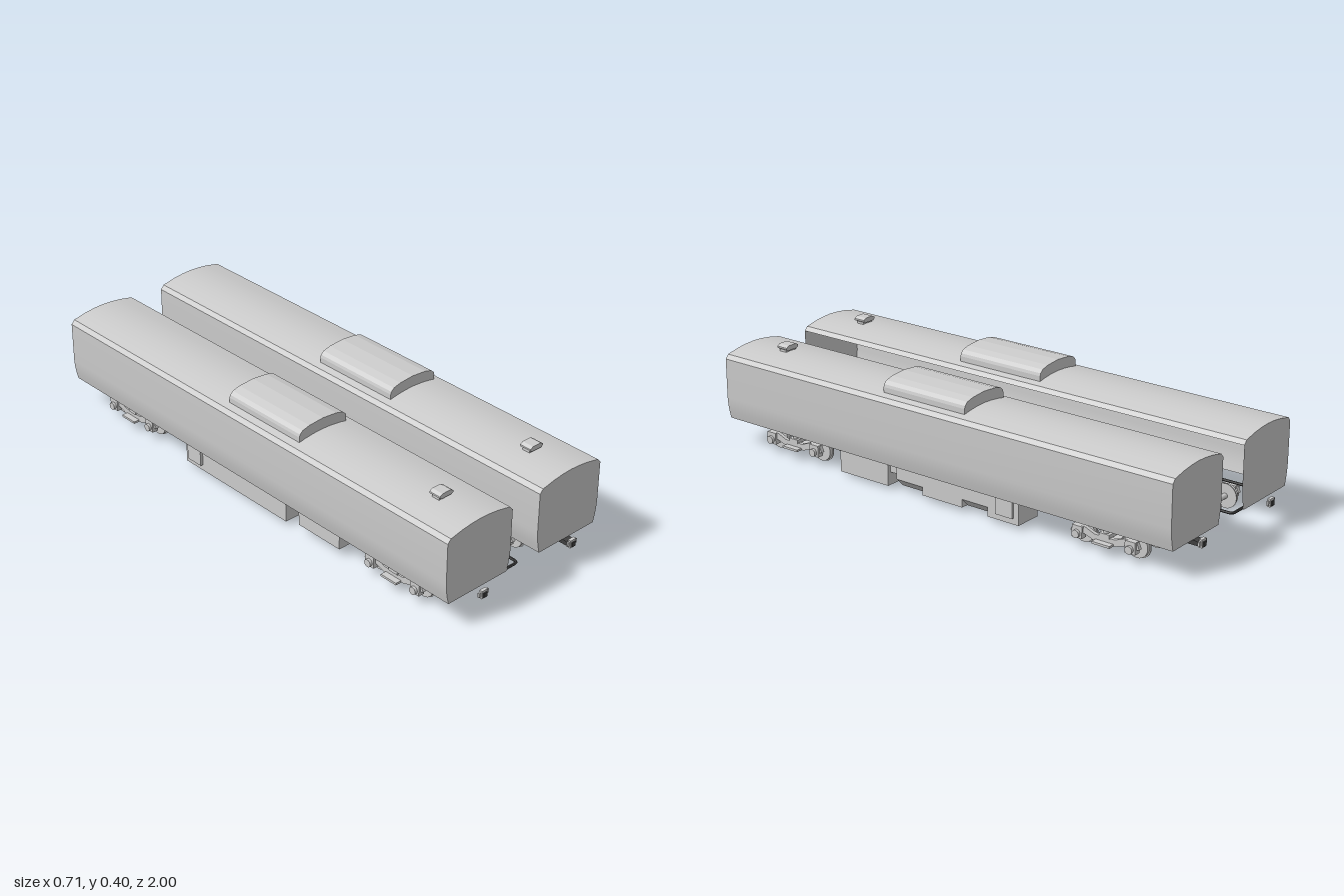
import * as THREE from 'three';
import { toCreasedNormals } from 'three/addons/utils/BufferGeometryUtils.js';

function material(name, color) {
  const m = new THREE.MeshStandardMaterial({ color, side: THREE.DoubleSide });
  m.name = name;
  return m;
}
const grey = material('plain grey', 0xcccccc);
const dark = material('dark grey', 0x404040);
const Z0 = -0.966, Z1 = 0.963;

function add(parent, name, geo, x = 0, y = 0, z = 0, mat = grey) {
  const m = new THREE.Mesh(geo, mat);
  m.name = name;
  m.position.set(x, y, z);
  parent.add(m);
  return m;
}

// Box given by its limits
function box(parent, name, x0, x1, y0, y1, z0, z1, mat = grey) {
  return add(parent, name, new THREE.BoxGeometry(Math.abs(x1 - x0), y1 - y0, Math.abs(z1 - z0)),
    (x0 + x1) / 2, (y0 + y1) / 2, (z0 + z1) / 2, mat);
}

// Cylinder lying across the car
function crossCylinder(parent, name, r, length, x, y, z, sides = 24) {
  return add(parent, name, new THREE.CylinderGeometry(r, r, length, sides).rotateZ(Math.PI / 2), x, y, z);
}

// Sheet swept along z from an open profile
function sheet(profile, z0, z1) {
  const pos = [];
  for (let i = 0; i + 1 < profile.length; i++) {
    const [ax, ay] = profile[i], [bx, by] = profile[i + 1];
    pos.push(ax, ay, z1, ax, ay, z0, bx, by, z0, ax, ay, z1, bx, by, z0, bx, by, z1);
  }
  const g = new THREE.BufferGeometry();
  g.setAttribute('position', new THREE.Float32BufferAttribute(pos, 3));
  return toCreasedNormals(g, 0.45);
}

const toShape = pts => new THREE.Shape(pts.map(p => new THREE.Vector2(...p)));

function extrude(pts, depth) {
  return new THREE.ExtrudeGeometry(toShape(pts), { depth, bevelEnabled: false });
}

const mirrorProfile = half => [...half, ...half.slice(0, -1).reverse().map(([x, y]) => [-x, y])];

// Half profile of the body, bottom edge to roof crown
const bodyProfile = mirrorProfile([[0.132, 0.1], [0.139, 0.13], [0.143, 0.155], [0.145, 0.18], [0.145, 0.33],
  [0.132, 0.345], [0.118, 0.348], [0.08, 0.356], [0.04, 0.361], [0, 0.363]]);
const humpProfile = mirrorProfile([[0.105, 0.34], [0.105, 0.37], [0.102, 0.38], [0.09, 0.391], [0.06, 0.399], [0, 0.404]]);

// Closed loop of thin rail with rounded corners, reaching out of the open side
function addRailLoop(car) {
  const x0 = -0.04, x1 = 0.19, z0 = Z0 + 0.006, z1 = Z1 - 0.006, r = 0.015;
  const corners = [[x1, z1, 1, 1], [x1, z0, 1, -1], [x0, z0, -1, -1], [x0, z1, -1, 1]];
  const v = (x, z) => new THREE.Vector3(x, 0.105, z);
  const path = new THREE.CurvePath();
  let last = v(x0 + r, z1);
  corners.forEach(([x, z, sx, sz], i) => {
    const alongX = v(x - sx * r, z), alongZ = v(x, z - sz * r);
    const [from, to] = i % 2 ? [alongZ, alongX] : [alongX, alongZ];
    path.add(new THREE.LineCurve3(last, from));
    path.add(new THREE.QuadraticBezierCurve3(from, v(x, z), to));
    last = to;
  });
  add(car, 'railLoop', toCreasedNormals(new THREE.TubeGeometry(path, 800, 0.005, 6), 0.5), 0, 0, 0, dark);
}

function addBody(car, open) {
  // Hollow body without a floor; the open car also lacks its left wall
  add(car, 'wallsAndRoof', sheet(open ? bodyProfile.slice(4) : bodyProfile, Z0, Z1));
  for (const z of [Z0, Z1]) {
    const end = add(car, 'endWall', new THREE.ShapeGeometry(toShape(bodyProfile)), 0, 0, z);
    if (z < 0) end.rotation.y = Math.PI;
  }
  if (open) addRailLoop(car);
  // Roof hump and ventilator
  add(car, 'roofHump', extrude(humpProfile, 0.355), 0, 0, -0.115);
  box(car, 'ventStem', -0.025, 0.025, 0.355, 0.37, 0.775, 0.805);
  const cap = [[-0.022, 0.369], [0.022, 0.369], [0.03, 0.374], [0.03, 0.38], [0.018, 0.387],
    [-0.018, 0.387], [-0.03, 0.38], [-0.03, 0.374]];
  add(car, 'ventCap', extrude(cap, 0.046), 0, 0, 0.767);
}

function addBogie(car, zc) {
  const bogie = new THREE.Group();
  bogie.name = 'bogie';
  bogie.position.z = zc;
  car.add(bogie);
  // Wheelsets with flanges and axle boxes
  for (const dz of [-0.104, 0.104]) {
    crossCylinder(bogie, 'axle', 0.01, 0.21, 0, 0.045, dz, 12);
    for (const s of [-1, 1]) {
      crossCylinder(bogie, 'wheel', 0.041, 0.014, s * 0.057, 0.045, dz);
      crossCylinder(bogie, 'wheelFlange', 0.045, 0.004, s * 0.049, 0.045, dz);
      box(bogie, 'axleBox', s * 0.08, s * 0.105, 0.032, 0.075, dz - 0.02, dz + 0.02);
      crossCylinder(bogie, 'axleCap', 0.014, 0.01, s * 0.11, 0.048, dz, 16);
    }
  }
  // Arched side frames with springs in the middle
  const frame = [[-0.135, 0.05], [-0.12, 0.045], [-0.08, 0.05], [-0.045, 0.038], [0.045, 0.038], [0.08, 0.05],
    [0.12, 0.045], [0.135, 0.05], [0.125, 0.072], [0.08, 0.076], [0.04, 0.06], [-0.04, 0.06], [-0.08, 0.076], [-0.125, 0.072]];
  for (const s of [-1, 1]) {
    add(bogie, 'sideFrame', extrude(frame, 0.014).rotateY(Math.PI / 2), s * 0.09 - 0.007);
    box(bogie, 'springPlank', s * 0.075, s * 0.12, 0.036, 0.044, -0.035, 0.035);
    add(bogie, 'spring', new THREE.CylinderGeometry(0.01, 0.01, 0.045, 12), s * 0.085, 0.066, 0);
    add(bogie, 'airSpring', new THREE.CylinderGeometry(0.032, 0.018, 0.014, 20), s * 0.085, 0.092, 0);
  }
  box(bogie, 'bolster', -0.1, 0.1, 0.058, 0.072, -0.02, 0.02);
  box(bogie, 'crossBeam', -0.085, 0.085, 0.034, 0.046, -0.03, 0.03);
  add(bogie, 'pivot', new THREE.CylinderGeometry(0.02, 0.02, 0.03, 16), 0, 0.086, 0);
}

function addCoupler(car, dir, open) {
  const end = dir > 0 ? Z1 : Z0;
  // Drawbar tapering up towards the car, only on the closed car
  if (!open) {
    const bar = [[-0.13, 0.1], [-0.13, 0.094], [-0.02, 0.082], [0.022, 0.082], [0.022, 0.096], [-0.01, 0.1]];
    add(car, 'drawbar', extrude(bar.map(([z, y]) => [dir * z, y]), 0.032).rotateY(-Math.PI / 2), 0.016, 0, end, dark);
  }
  box(car, 'couplerHead', -0.013, 0.013, 0.077, 0.106, end + dir * 0.019, end + dir * 0.031);
  box(car, 'couplerFace', -0.008, 0.008, 0.081, 0.098, end + dir * 0.031, end + dir * 0.035, dark);
  box(car, 'couplerLug', -0.022, 0.022, 0.084, 0.1, end + dir * 0.021, end + dir * 0.027);
}

// Boxes under the body as [u0, u1, y0, z0, z1], u pointing away from the other car
const shared = [
  [-0.105, -0.02, 0.03, 0.3, 0.42], [-0.115, -0.005, 0.015, -0.05, 0.15],
  [-0.1, -0.03, 0.045, -0.2, -0.1], [-0.11, -0.02, 0.035, -0.35, -0.26],
  [0.1, 0.126, 0.038, -0.33, -0.26],
];
const outerOpen = [[0.01, 0.115, 0.015, -0.35, 0.18], [0.03, 0.11, 0.03, 0.24, 0.44]];
const outerClosed = [
  [0.01, 0.115, 0.013, 0.22, 0.44], [0.04, 0.1, 0.06, 0.17, 0.22],
  [0.01, 0.115, 0.018, -0.11, 0.065], [0.01, 0.116, 0.015, -0.35, -0.22],
];
// Cases with a sloping lower outer side
const sloped = [[0.065, 0.18], [-0.22, -0.11]];
const slopedProfile = [[0.01, 0.015], [0.082, 0.015], [0.115, 0.048], [0.115, 0.1], [0.01, 0.1]];

function addUnderfloor(car, side, open) {
  for (const [u0, u1, y0, z0, z1] of [...shared, ...(open ? outerOpen : outerClosed)]) {
    box(car, 'equipmentBox', side * u0, side * u1, y0, 0.1, z0, z1);
  }
  if (!open) for (const [z0, z1] of sloped) {
    add(car, 'slopedCase', extrude(slopedProfile.map(([u, y]) => [side * u, y]), z1 - z0), 0, 0, z0);
  }
  // Air reservoir and hanging brackets
  const tank = add(car, 'airTank', new THREE.CylinderGeometry(0.018, 0.018, 0.1, 16), -side * 0.06, 0.07, 0.22);
  tank.rotation.x = Math.PI / 2;
  for (const z of [-0.475, 0.475]) {
    box(car, 'bracket', -side * 0.12, -side * 0.127, 0.055, 0.1, z - 0.008, z + 0.008);
    crossCylinder(car, 'bracketFoot', 0.014, 0.012, -side * 0.128, 0.073, z, 12);
  }
}

function buildCar(name, x, side, open) {
  const car = new THREE.Group();
  car.name = name;
  car.position.x = x;
  addBody(car, open);
  for (const dir of [1, -1]) {
    addBogie(car, dir * 0.683);
    addCoupler(car, dir, open);
  }
  addUnderfloor(car, side, open);
  return car;
}

export function createModel() {
  const model = new THREE.Group();
  model.name = 'railCarPair';
  model.add(buildCar('openCar', -0.21, -1, true), buildCar('closedCar', 0.207, 1, false));
  return model;
}
